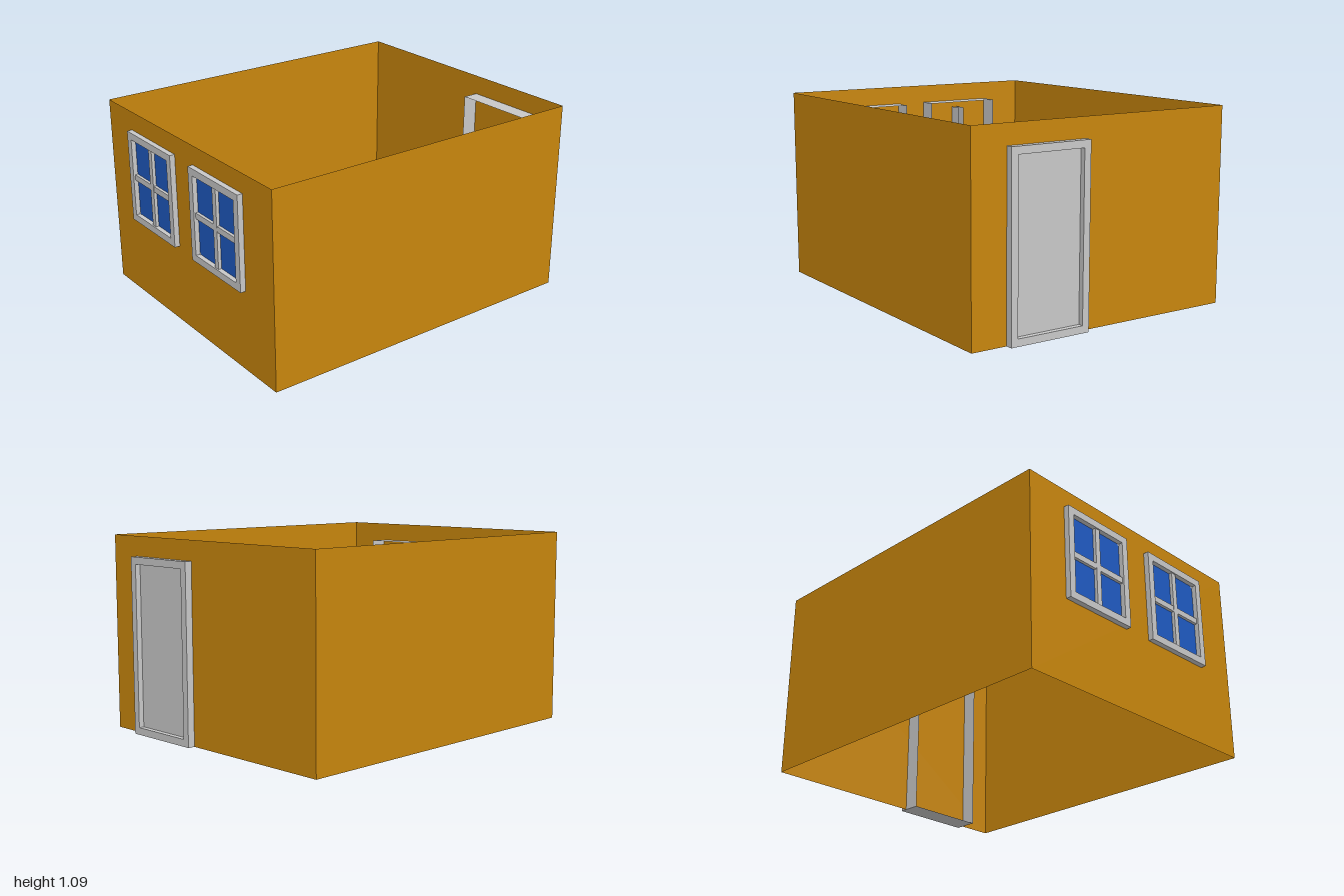
import * as THREE from 'three';
import { mergeGeometries } from 'three/addons/utils/BufferGeometryUtils.js';

const material = (name, color) => {
  const m = new THREE.MeshStandardMaterial({ color, side: THREE.DoubleSide });
  m.name = name;
  return m;
};

// Open rectangular sleeve along z; sides chooses which of the walls exist
function sleeve(w, h, z0, z1, sides = 'lrtb') {
  const d = z1 - z0, z = (z0 + z1) / 2, parts = [];
  for (const s of sides) {
    const upright = s === 'l' || s === 'r';
    const sign = s === 'r' || s === 't' ? 1 : -1;
    const g = upright ? new THREE.PlaneGeometry(d, h) : new THREE.PlaneGeometry(w, d);
    if (upright) g.rotateY(sign * Math.PI / 2).translate(sign * w / 2, 0, z);
    else g.rotateX(-sign * Math.PI / 2).translate(0, sign * h / 2, z);
    parts.push(g);
  }
  return mergeGeometries(parts);
}

// Flat rectangular ring facing +z
function ring(w, h, border) {
  const rect = (Type, a, b) => new Type([[-a, -b], [a, -b], [a, b], [-a, b]].map(p => new THREE.Vector2(p[0] / 2, p[1] / 2)));
  const shape = rect(THREE.Shape, w, h);
  shape.holes.push(rect(THREE.Path, w - 2 * border, h - 2 * border));
  return new THREE.ShapeGeometry(shape);
}

function add(group, name, geometry, mat) {
  const mesh = new THREE.Mesh(geometry, mat);
  mesh.name = name;
  group.add(mesh);
  return mesh;
}

// Hollow casing, open at the back, with a shallow reveal around the opening
function casing(name, w, h, depth, border, reveal, mat) {
  const group = new THREE.Group();
  group.name = name;
  add(group, 'casingFace', ring(w, h, border), mat);
  add(group, 'casingSides', sleeve(w, h, -depth, 0), mat);
  add(group, 'casingReveal', sleeve(w - 2 * border, h - 2 * border, -reveal, 0), mat);
  return group;
}

export function createModel() {
  const model = new THREE.Group();
  model.name = 'room';
  const wallPaint = material('ochreWall', 0xc8860d);
  const trim = material('greyTrim', 0xc8c8c8);
  const glass = material('blueGlass', 0x1f5ac2);

  // Four thin walls, open above and below
  const W = 1.6, H = 1.09, front = 0.97, back = -0.96;
  add(model, 'walls', sleeve(W, H, back, front, 'lr'), wallPaint).position.y = H / 2;
  add(model, 'frontWall', new THREE.PlaneGeometry(W, H), wallPaint).position.set(0, H / 2, front);
  add(model, 'backWall', new THREE.PlaneGeometry(W, H).rotateY(Math.PI), wallPaint).position.set(0, H / 2, back);

  // Two windows with cross bars
  const w = 0.46, h = 0.525, border = 0.04, bar = 0.033;
  const iw = w - 2 * border, ih = h - 2 * border;
  for (const side of [-1, 1]) {
    const win = casing('window', w, h, 0.137, border, 0.03, trim);
    win.position.set(side * 0.32, 0.721, 1);
    add(win, 'pane', new THREE.PlaneGeometry(iw, ih), glass).position.z = -0.026;
    add(win, 'uprightBar', new THREE.PlaneGeometry(bar, ih), trim).position.z = -0.008;
    add(win, 'uprightBarSides', sleeve(bar, ih, -0.117, -0.008, 'lr'), trim);
    add(win, 'crossBar', new THREE.PlaneGeometry(iw, bar), trim).position.z = -0.01;
    add(win, 'crossBarSides', sleeve(iw, bar, -0.112, -0.01, 'tb'), trim);
    // Small corner fixings on the pane
    for (const sx of [-1, 1]) for (const sy of [-1, 1]) {
      add(win, 'cornerFixing', new THREE.PlaneGeometry(0.012, 0.012), trim)
        .position.set(sx * (iw / 2 - 0.006), sy * (ih / 2 - 0.006), -0.023);
    }
    model.add(win);
  }

  // Door on the back wall, its leaf set inside the casing
  const dw = 0.475, dh = 0.98;
  const door = casing('door', dw, dh, 0.133, border, 0.038, trim);
  add(door, 'doorLeaf', new THREE.PlaneGeometry(dw - 2 * border, dh - 2 * border), trim).position.z = -0.03;
  door.rotation.y = Math.PI;
  door.position.set(0.36, dh / 2, -1);
  model.add(door);

  return model;
}
